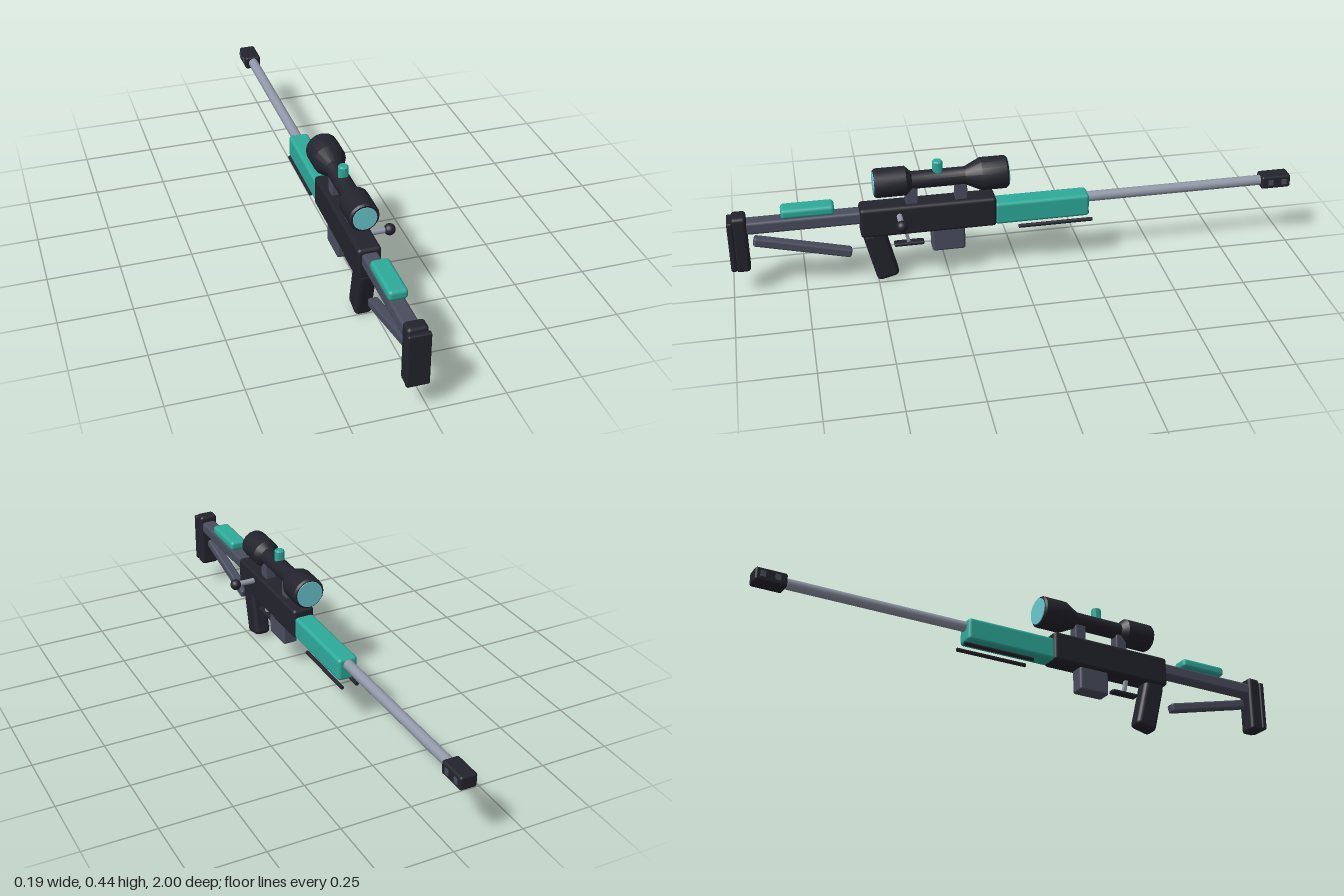
import * as THREE from 'three';
import { RoundedBoxGeometry } from 'three/addons/geometries/RoundedBoxGeometry.js';
import { toCreasedNormals } from 'three/addons/utils/BufferGeometryUtils.js';

const CX = -0.038; // centre plane of the rifle

function material(name, color) {
  const m = new THREE.MeshStandardMaterial({ color });
  m.name = name;
  return m;
}

export function createModel() {
  const black = material('matte black', 0x23232d);
  const gunmetal = material('gunmetal', 0x4a4d5e);
  const steel = material('steel', 0x9298a8);
  const teal = material('teal', 0x2dab9b);
  const glass = material('lens glass', 0x69c9d0);

  const model = new THREE.Group();
  model.name = 'rifle';

  function add(name, geometry, mat, x, y, z) {
    const mesh = new THREE.Mesh(geometry, mat);
    mesh.name = name;
    mesh.position.set(x, y, z);
    model.add(mesh);
    return mesh;
  }

  // Bevelled box given by its width and its y and z ranges
  function block(name, mat, width, y0, y1, z0, z1, bevel = 0.01, x = CX) {
    const geometry = new RoundedBoxGeometry(width, y1 - y0, z1 - z0, 2, bevel);
    return add(name, geometry, mat, x, (y0 + y1) / 2, (z0 + z1) / 2);
  }

  // Round bar along z
  function bar(name, mat, radius, x, y, z0, z1, sides = 16) {
    const geometry = new THREE.CylinderGeometry(radius, radius, z1 - z0, sides).rotateX(Math.PI / 2);
    return add(name, geometry, mat, x, y, (z0 + z1) / 2);
  }

  // Receiver, handguard and magazine
  block('receiver', black, 0.08, 0.185, 0.295, 0.08, 0.553, 0.012);
  block('handguard', teal, 0.072, 0.187, 0.27, -0.252, 0.085, 0.012);
  block('magazine', gunmetal, 0.056, 0.1, 0.2, 0.19, 0.307, 0.009);

  // Barrel and muzzle brake with side ports
  bar('barrel', steel, 0.0185, CX, 0.247, -0.92, -0.24);
  block('muzzleBrake', black, 0.06, 0.222, 0.27, -1, -0.892, 0.008);
  for (const side of [-1, 1])
    for (const z of [-0.975, -0.925])
      add('muzzlePort', new THREE.BoxGeometry(0.004, 0.02, 0.018), gunmetal, CX + side * 0.031, 0.247, z);

  // Folded bipod legs
  for (const side of [-1, 1]) bar('bipodLeg', black, 0.007, CX + side * 0.028, 0.17, -0.265, 0, 10);

  // Stock
  block('stockTube', gunmetal, 0.054, 0.235, 0.281, 0.545, 0.945, 0.01);
  block('cheekRest', teal, 0.064, 0.284, 0.319, 0.637, 0.818, 0.012);
  block('buttPad', black, 0.068, 0.095, 0.304, 0.934, 0.984, 0.012);
  block('buttPlate', black, 0.075, 0.103, 0.291, 0.98, 1, 0.006);
  const strut = block('stockStrut', gunmetal, 0.036, 0.142, 0.174, 0.582, 0.922, 0.008);
  strut.rotation.x = -0.244;

  // Grip, trigger and guard
  const grip = block('grip', black, 0.06, 0.007, 0.2, 0.446, 0.526, 0.016);
  grip.rotation.x = 0.24;
  const trigger = add('trigger', new THREE.BoxGeometry(0.014, 0.055, 0.012), steel, CX, 0.16, 0.392);
  trigger.rotation.x = 0.2;
  block('triggerGuard', black, 0.03, 0.125, 0.138, 0.333, 0.438, 0.005);

  // Bolt handle on the left side
  const rod = new THREE.CylinderGeometry(0.01, 0.01, 0.09, 12).rotateZ(Math.PI / 2);
  add('boltHandle', rod, steel, 0.033, 0.262, 0.419);
  add('boltKnob', new THREE.SphereGeometry(0.02, 16, 12), black, 0.075, 0.262, 0.419);

  // Scope body turned about z: objective bell, tube, eyepiece
  const profile = [
    [0, 0.037], [0.052, 0.037], [0.0575, 0.044], [0.0575, 0.13], [0.031, 0.185],
    [0.031, 0.37], [0.051, 0.39], [0.051, 0.492], [0.046, 0.499], [0, 0.499],
  ].map(([r, z]) => new THREE.Vector2(r, z));
  const scope = toCreasedNormals(new THREE.LatheGeometry(profile, 16).rotateX(Math.PI / 2), 0.45);
  add('scopeBody', scope, black, CX, 0.376, 0);
  bar('objectiveLens', glass, 0.048, CX, 0.376, 0.034, 0.04, 24);
  bar('eyepieceLens', glass, 0.04, CX, 0.376, 0.496, 0.502, 24);

  // Scope mounts and turret
  for (const z of [0.2, 0.372]) block('scopeMount', gunmetal, 0.04, 0.285, 0.355, z - 0.021, z + 0.021, 0.004);
  const knob = [[0.018, 0], [0.018, 0.038], [0.014, 0.043], [0, 0.043]].map(([r, y]) => new THREE.Vector2(r, y));
  add('scopeTurret', toCreasedNormals(new THREE.LatheGeometry(knob, 12), 0.55), teal, CX, 0.4, 0.278);

  return model;
}
